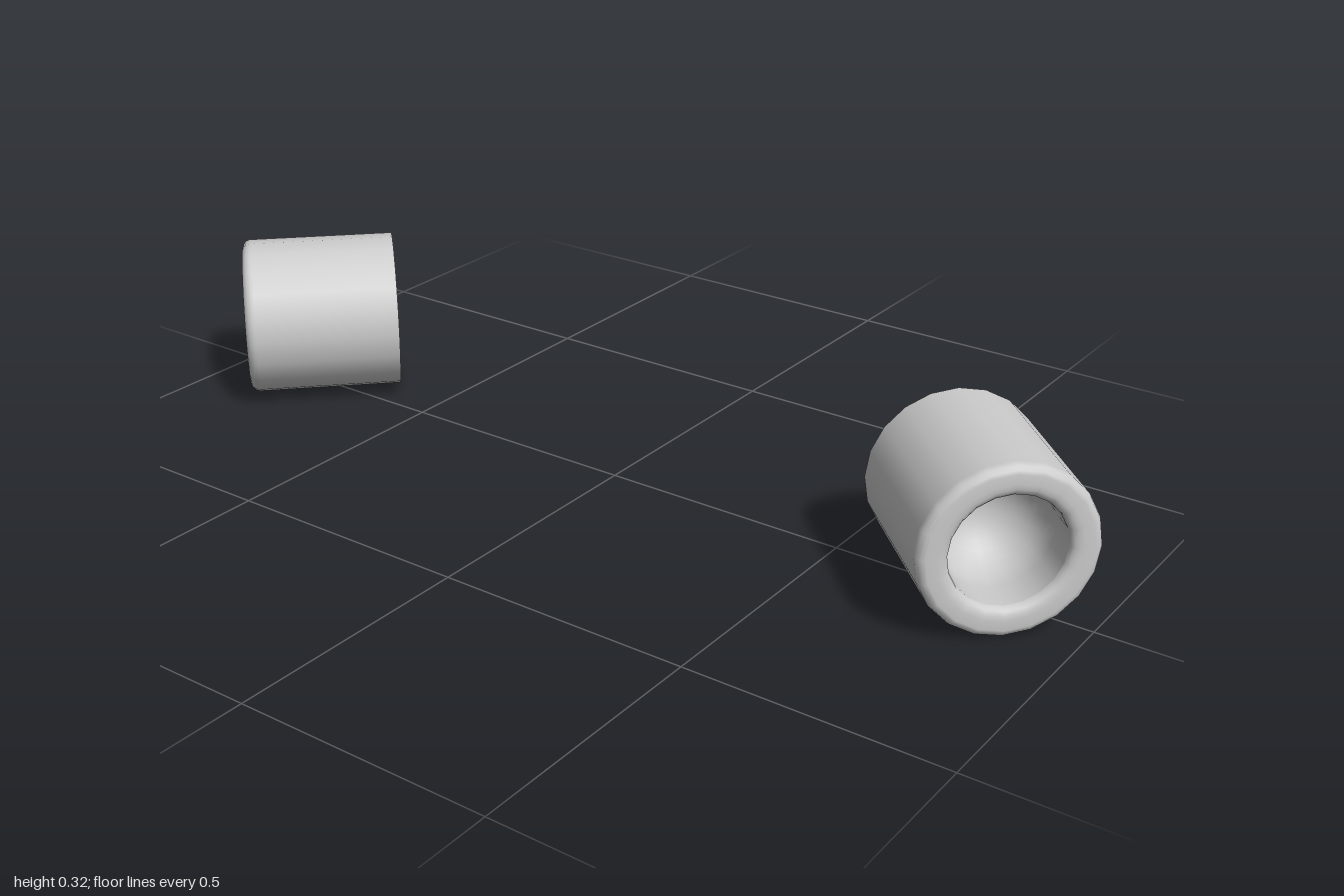
import * as THREE from 'three';

const SIDES = 20;
const R = 0.1615;      // outer radius of a cup
const HALF = 0.157;    // half the length of a cup
const BOWL = 0.105;    // radius of the bowl set into the front

const material = new THREE.MeshStandardMaterial({ color: 0xcccccc, side: THREE.DoubleSide });

// Turns a profile of [radius, distance along the axis] so that its axis is +z
function turned(name, profile) {
  const points = profile.map(([r, a]) => new THREE.Vector2(r, a));
  const geometry = new THREE.LatheGeometry(points, SIDES).rotateX(Math.PI / 2);
  const mesh = new THREE.Mesh(geometry, material);
  mesh.name = name;
  return mesh;
}

function createCup(name) {
  const cup = new THREE.Group();
  cup.name = name;

  // Thin tube, open at the rear, with a rounded rim at the front
  cup.add(turned('housing', [
    [R, -HALF], [R, 0.136], [R, 0.142], [0.159, 0.149], [0.153, 0.1545], [0.146, HALF],
    [0.128, HALF], [0.119, 0.1565], [0.111, 0.153], [0.1065, 0.148], [BOWL, 0.142],
  ]));

  // Bowl sunk behind the rim: a short neck ending in a half sphere
  const neckEnd = 0.08;
  const bowl = [[BOWL, 0.142], [BOWL, 0.11]];
  for (let i = 0; i <= 10; i++) {
    const t = (i / 10) * Math.PI / 2;
    bowl.push([i === 10 ? 0 : BOWL * Math.cos(t), neckEnd - BOWL * Math.sin(t)]);
  }
  cup.add(turned('bowl', bowl));
  return cup;
}

export function createModel() {
  const model = new THREE.Group();
  model.name = 'cupPair';
  // The two cups are mirrored front to back, both turned 45 degrees to the right
  for (const [name, z, angle] of [['frontCup', 0.776, -45], ['backCup', -0.776, -135]]) {
    const cup = createCup(name);
    cup.position.set(0, R, z);
    cup.rotation.y = THREE.MathUtils.degToRad(angle);
    model.add(cup);
  }
  return model;
}
